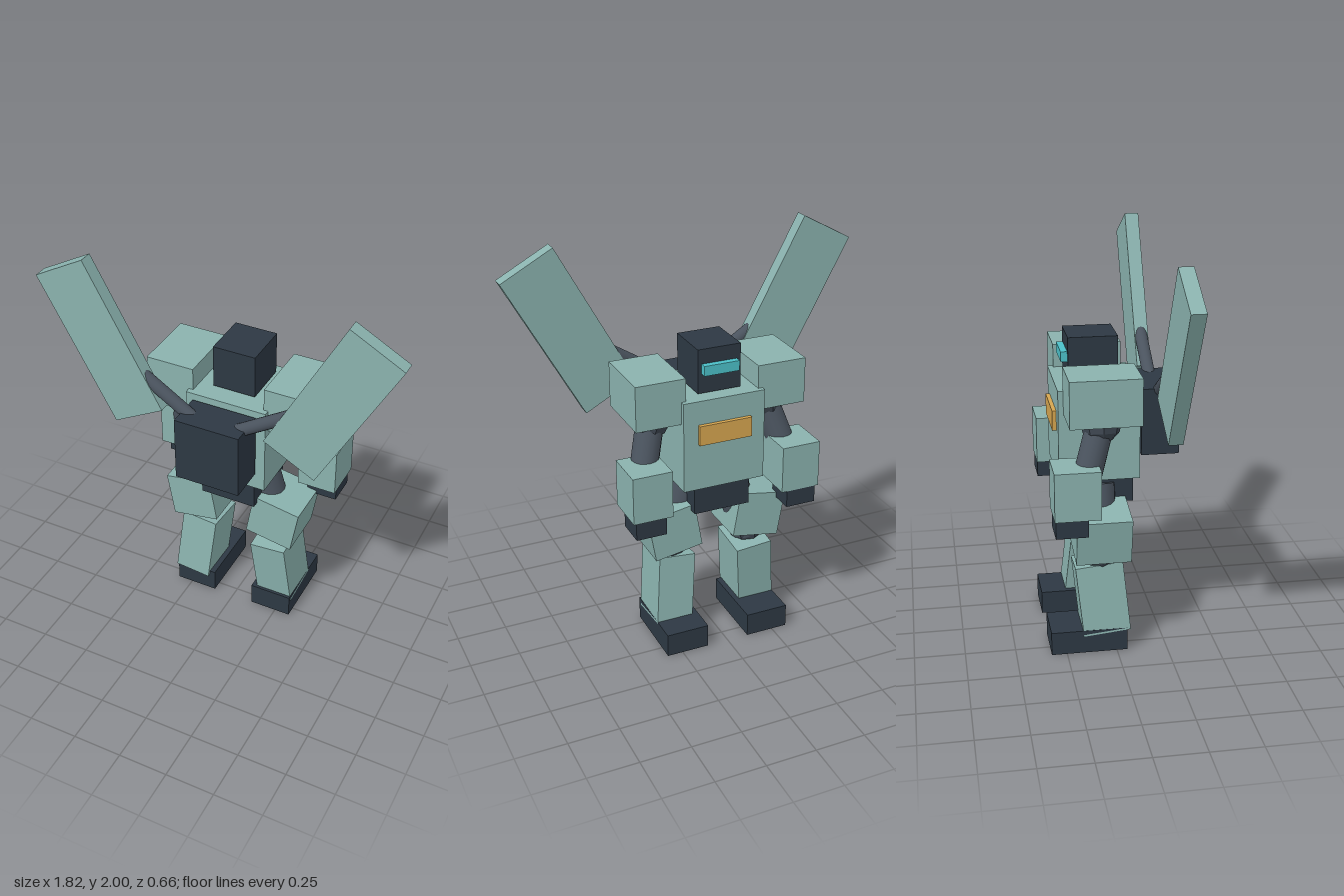
import * as THREE from 'three';

const mat = (color, flatShading = false) => new THREE.MeshStandardMaterial({ color, flatShading });

export function createModel() {
  const robot = new THREE.Group();
  robot.name = 'robot';

  const armour = mat(0x8ab2ae);
  const dark = mat(0x2d3843);
  const limb = mat(0x4a535e);
  const joint = mat(0x3f4853, true);
  const orange = mat(0xd6a650);
  const cyan = mat(0x4cc0c8);

  const add = (name, geometry, material, position, rotation = [0, 0, 0]) => {
    const mesh = new THREE.Mesh(geometry, material);
    mesh.name = name;
    mesh.position.set(...position);
    mesh.rotation.set(...rotation);
    robot.add(mesh);
    return mesh;
  };
  const box = (name, size, position, material, rotation) =>
    add(name, new THREE.BoxGeometry(...size), material, position, rotation);

  // Round rod between two points
  const rod = (name, from, to, radius) => {
    const a = new THREE.Vector3(...from);
    const b = new THREE.Vector3(...to);
    const dir = b.clone().sub(a);
    const mesh = add(name, new THREE.CylinderGeometry(radius, radius, dir.length(), 16), limb,
      a.add(b).multiplyScalar(0.5).toArray());
    mesh.quaternion.setFromUnitVectors(new THREE.Vector3(0, 1, 0), dir.normalize());
  };
  const ball = (name, position, radius, tilt) =>
    add(name, new THREE.SphereGeometry(radius, 8, 6), joint, position, [0, 0, tilt]);

  // Head, body and backpack; the face looks toward -z
  box('head', [0.22, 0.22, 0.24], [0, 1.45, -0.083], dark);
  box('visor', [0.18, 0.05, 0.05], [0, 1.462, -0.21], cyan);
  box('torso', [0.42, 0.46, 0.395], [0, 1.1, -0.068], armour);
  box('chestPlate', [0.27, 0.1, 0.425], [0, 1.16, -0.073], orange);
  box('pelvis', [0.29, 0.15, 0.35], [0, 0.8, -0.067], dark);
  box('backpack', [0.335, 0.335, 0.185], [0, 1.138, 0.237], dark);

  // Paired parts: s = 1 is the +x side, s = -1 the -x side
  for (const s of [1, -1]) {
    const side = s > 0 ? 'Left' : 'Right';

    // Wing and strut
    box('wing' + side, [0.295, 0.808, 0.07], [s * 0.5875, 1.575, 0.235], armour, [0, 0, -s * 0.497]);
    rod('wingStrut' + side, [s * 0.1, 1.265, 0.235], [s * 0.43, 1.475, 0.235], 0.032);

    // Arm
    box('shoulderGuard' + side, [0.25, 0.228, 0.34], [s * 0.312, 1.331, -0.07], armour);
    ball('shoulderJoint' + side, [s * 0.3, 1.2, -0.075], 0.1, s * 0.25);
    rod('upperArm' + side, [s * 0.285, 1.25, -0.06], [s * 0.39, 0.9, -0.17], 0.068);
    box('forearm' + side, [0.2, 0.24, 0.22], [s * 0.39, 0.905, -0.21], armour);
    box('hand' + side, [0.155, 0.1, 0.155], [s * 0.398, 0.745, -0.237], dark);

    // Leg
    rod('upperLeg' + side, [s * 0.118, 0.822, -0.065], [s * 0.22, 0.47, -0.068], 0.085);
    box('thighGuard' + side, [0.25, 0.235, 0.27], [s * 0.228, 0.618, -0.065], armour, [0, 0, -s * 0.17]);
    ball('knee' + side, [s * 0.22, 0.505, -0.068], 0.1, s * 0.15);
    box('shin' + side, [0.19, 0.36, 0.235], [s * 0.22, 0.27, -0.065], armour, [s * 0.1, 0, s * 0.09]);
    box('foot' + side, [0.22, 0.12, 0.38], [s * 0.22, 0.06, -0.137], dark);
  }
  return robot;
}
